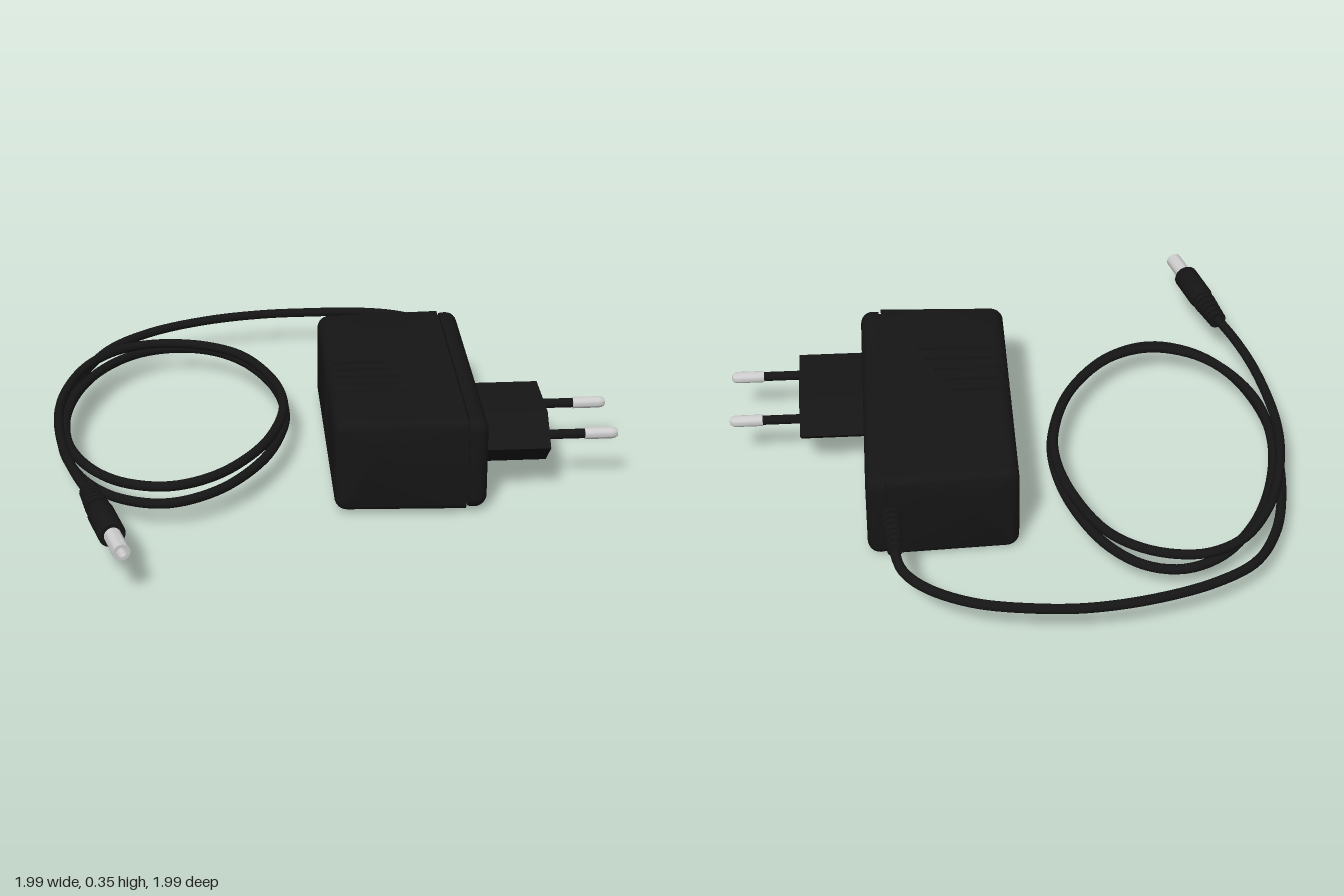
import * as THREE from 'three';
import { toCreasedNormals } from 'three/addons/utils/BufferGeometryUtils.js';

const black = new THREE.MeshStandardMaterial({ color: 0x151515 });
const grey = new THREE.MeshStandardMaterial({ color: 0xcccccc });

function part(parent, name, geometry, material = black) {
  const mesh = new THREE.Mesh(geometry, material);
  mesh.name = name;
  parent.add(mesh);
  return mesh;
}

// Skin over equal-length rings of points, capped at both ends
function loft(rings) {
  const n = rings[0].length, pos = [], idx = [];
  rings.forEach(r => r.forEach(p => pos.push(...p)));
  for (let i = 0; i < rings.length - 1; i++) {
    for (let j = 0; j < n; j++) {
      const a = i * n + j, b = i * n + (j + 1) % n;
      idx.push(a, b, b + n, a, b + n, a + n);
    }
  }
  [0, rings.length - 1].forEach((i, end) => {
    const c = pos.length / 3;
    for (let k = 0; k < 3; k++) pos.push(rings[i].reduce((s, p) => s + p[k], 0) / n);
    for (let j = 0; j < n; j++) {
      const a = i * n + j, b = i * n + (j + 1) % n;
      if (end) idx.push(c, a, b); else idx.push(c, b, a);
    }
  });
  const g = new THREE.BufferGeometry();
  g.setAttribute('position', new THREE.Float32BufferAttribute(pos, 3));
  g.setIndex(idx);
  return toCreasedNormals(g, 0.6);
}

// Quarter-circle corner as [u, v, normalU, normalV]
function corner(cu, cv, r, from, steps = 6) {
  return Array.from({ length: steps + 1 }, (_, i) => {
    const a = from + (i / steps) * Math.PI / 2, c = Math.cos(a), s = Math.sin(a);
    return [cu + r * c, cv + r * s, c, s];
  });
}

const H = 0.17, L = 0.5025, SEAM = 0.19;
const draft = (x, y, z) => [x, y, z * (1 + 0.094 * x)];

// Housing shell, lofted along z, with vent grooves wrapping over the top and left side
function shellGeometry() {
  const r = 0.045, left = -0.265, ends = [0.06, 0.03, 0, -0.03, -0.06];
  const outline = [[SEAM, -H, 0, -1], [SEAM, H, 0, 1]];
  ends.forEach(x => outline.push([x + 0.003, H, 0, 1], [x, H, 0, 1]));
  outline.push(...corner(left + r, H - r, r, Math.PI / 2), ...corner(left + r, r - H, r, Math.PI));
  const ring = (z, inset, grooveEnd = -9) => outline.map(([x, y, nx, ny]) => {
    const d = inset + (x <= grooveEnd && y > -H + 0.002 ? 0.009 : 0);
    return draft(x - nx * d, y - ny * d, z);
  });
  const round = 0.03, rings = [], cap = [];
  for (let i = 0; i <= 5; i++) {
    const a = i / 5 * Math.PI / 2;
    cap.push([L - round * (1 - Math.sin(a)), round * (1 - Math.cos(a))]);
  }
  [...cap].reverse().forEach(([z, d]) => rings.push(ring(-z, d)));
  for (let k = 0; k < 5; k++) {
    const z = -0.03 + k * 0.0625, e = ends[4 - k];
    rings.push(ring(z, 0), ring(z + 0.002, 0, e), ring(z + 0.02, 0, e), ring(z + 0.022, 0));
  }
  cap.forEach(([z, d]) => rings.push(ring(z, d)));
  return loft(rings);
}

// Rounded face plate on the plug side, lofted along x
function plateGeometry() {
  const r = 0.048, round = 0.045, x1 = 0.265;
  const outline = [[1, 1], [-1, 1], [-1, -1], [1, -1]].flatMap(([sy, sz], i) =>
    corner(sy * (H - r), sz * (L - r), r, i * Math.PI / 2));
  const ring = (x, d) => outline.map(([y, z, ny, nz]) => draft(x, y - ny * d, z - nz * d));
  const rings = [ring(SEAM + 0.008, 0.002)];
  for (let i = 0; i <= 6; i++) {
    const a = i / 6 * Math.PI / 2;
    rings.push(ring(x1 - round * (1 - Math.sin(a)), round * (1 - Math.cos(a))));
  }
  return loft(rings);
}

// Smooth-sided turned part with crisp edges
function turned(points, sides = 20) {
  const g = new THREE.LatheGeometry(points.map(p => new THREE.Vector2(...p)), sides);
  return toCreasedNormals(g, 0.6);
}

// Ribbed sleeve profile running from radius r0 to r1 along its axis
function ribs(r0, r1, length, count) {
  const pts = [[0, 0]], step = length / count;
  for (let i = 0; i < count; i++) {
    const r = r0 + (r1 - r0) * i / (count - 1), y = i * step;
    pts.push([r, y], [r, y + step * 0.6], [r * 0.72, y + step * 0.6], [r * 0.72, y + step]);
  }
  return pts;
}

function aim(object, from, to) {
  object.position.copy(from);
  object.quaternion.setFromUnitVectors(new THREE.Vector3(0, 1, 0), to.clone().sub(from).normalize());
}

export function createModel() {
  const model = new THREE.Group();
  model.name = 'powerAdapter';

  // Housing, resting slightly turned
  const adapter = new THREE.Group();
  adapter.name = 'adapter';
  adapter.position.set(0.245, 0.181, 0);
  adapter.rotation.set(-0.013, -0.035, 0);
  model.add(adapter);
  part(adapter, 'housingShell', shellGeometry());
  part(adapter, 'facePlate', plateGeometry());
  part(adapter, 'seamCore', new THREE.BoxGeometry(0.05, 2 * H - 0.04, 2 * L - 0.02)).position.x = SEAM;

  // Six-sided mains plug, drawn with z across and extruded towards +x
  const hex = new THREE.Shape([[-0.235, 0], [-0.13, -0.093], [0.13, -0.093], [0.235, 0], [0.13, 0.093], [-0.13, 0.093]]
    .map(p => new THREE.Vector2(...p)));
  const plug = part(adapter, 'mainsPlug', new THREE.ExtrudeGeometry(hex, { depth: 0.24, bevelEnabled: false }));
  plug.rotation.y = Math.PI / 2;
  plug.position.set(0.255, 0.015, 0.18);

  // Two pins: insulated root and rounded metal tip
  for (const side of [-1, 1]) {
    const pin = new THREE.Group();
    pin.name = side < 0 ? 'backPin' : 'frontPin';
    pin.rotation.z = -Math.PI / 2;
    pin.position.set(0.48, 0.017, 0.177 + side * 0.13);
    adapter.add(pin);
    part(pin, 'pinSleeve', new THREE.CylinderGeometry(0.017, 0.017, 0.17, 16)).position.y = 0.08;
    part(pin, 'pinTip', turned([[0, 0.15], [0.021, 0.15], [0.021, 0.245], [0.019, 0.257], [0.012, 0.267], [0, 0.27]]), grey);
  }

  // Ribbed strain relief where the cable leaves the housing
  const relief = part(model, 'strainRelief', turned([...ribs(0.038, 0.027, 0.19, 7), [0, 0.19]]));
  aim(relief, new THREE.Vector3(0.442, 0.192, -0.5), new THREE.Vector3(0.44, 0.186, -0.69));

  // Cable: long tail, two coils, then out to the connector
  const path = [
    [0.44, 0.188, -0.64], [0.44, 0.186, -0.7], [0.42, 0.18, -0.78], [0.35, 0.172, -0.86], [0.2, 0.16, -0.935],
    [0, 0.15, -0.972], [-0.18, 0.145, -0.982], [-0.4, 0.14, -0.955], [-0.62, 0.13, -0.885], [-0.78, 0.115, -0.78],
    [-0.88, 0.1, -0.62], [-0.94, 0.092, -0.43], [-0.975, 0.09, -0.17], [-0.96, 0.09, 0.1], [-0.88, 0.094, 0.33],
    [-0.76, 0.098, 0.465], [-0.61, 0.102, 0.515], [-0.44, 0.108, 0.45], [-0.27, 0.113, 0.25], [-0.175, 0.115, 0],
    [-0.157, 0.115, -0.18], [-0.19, 0.112, -0.4], [-0.29, 0.107, -0.63], [-0.41, 0.103, -0.745], [-0.54, 0.103, -0.775],
    [-0.68, 0.11, -0.725], [-0.82, 0.12, -0.57], [-0.92, 0.127, -0.34], [-0.96, 0.13, -0.1], [-0.94, 0.13, 0.12],
    [-0.86, 0.13, 0.3], [-0.75, 0.132, 0.41], [-0.6, 0.136, 0.455], [-0.44, 0.142, 0.4], [-0.27, 0.148, 0.21],
    [-0.18, 0.15, -0.02], [-0.162, 0.15, -0.18], [-0.2, 0.148, -0.4], [-0.3, 0.143, -0.61], [-0.44, 0.14, -0.715],
    [-0.61, 0.14, -0.745], [-0.75, 0.146, -0.69], [-0.87, 0.157, -0.54], [-0.95, 0.165, -0.32], [-0.982, 0.17, -0.1],
    [-0.965, 0.175, 0.2], [-0.925, 0.18, 0.4], [-0.865, 0.18, 0.6],
  ].map(p => new THREE.Vector3(...p));
  part(model, 'cable', new THREE.TubeGeometry(new THREE.CatmullRomCurve3(path), 320, 0.0175, 12));

  // Barrel connector with ribbed tail, grip and hollow metal barrel
  const connector = new THREE.Group();
  connector.name = 'barrelConnector';
  aim(connector, new THREE.Vector3(-0.877, 0.18, 0.55), new THREE.Vector3(-0.776, 0.178, 0.98));
  model.add(connector);
  part(connector, 'connectorGrip', turned([...ribs(0.034, 0.042, 0.14, 5),
    [0.04, 0.14], [0.046, 0.165], [0.046, 0.315], [0.042, 0.322], [0, 0.322]], 24));
  part(connector, 'metalBarrel', turned([[0.029, 0.3], [0.029, 0.442], [0.017, 0.442], [0.017, 0.36]], 24), grey);
  part(connector, 'barrelCore', new THREE.CylinderGeometry(0.018, 0.018, 0.06, 20)).position.y = 0.35;

  return model;
}
